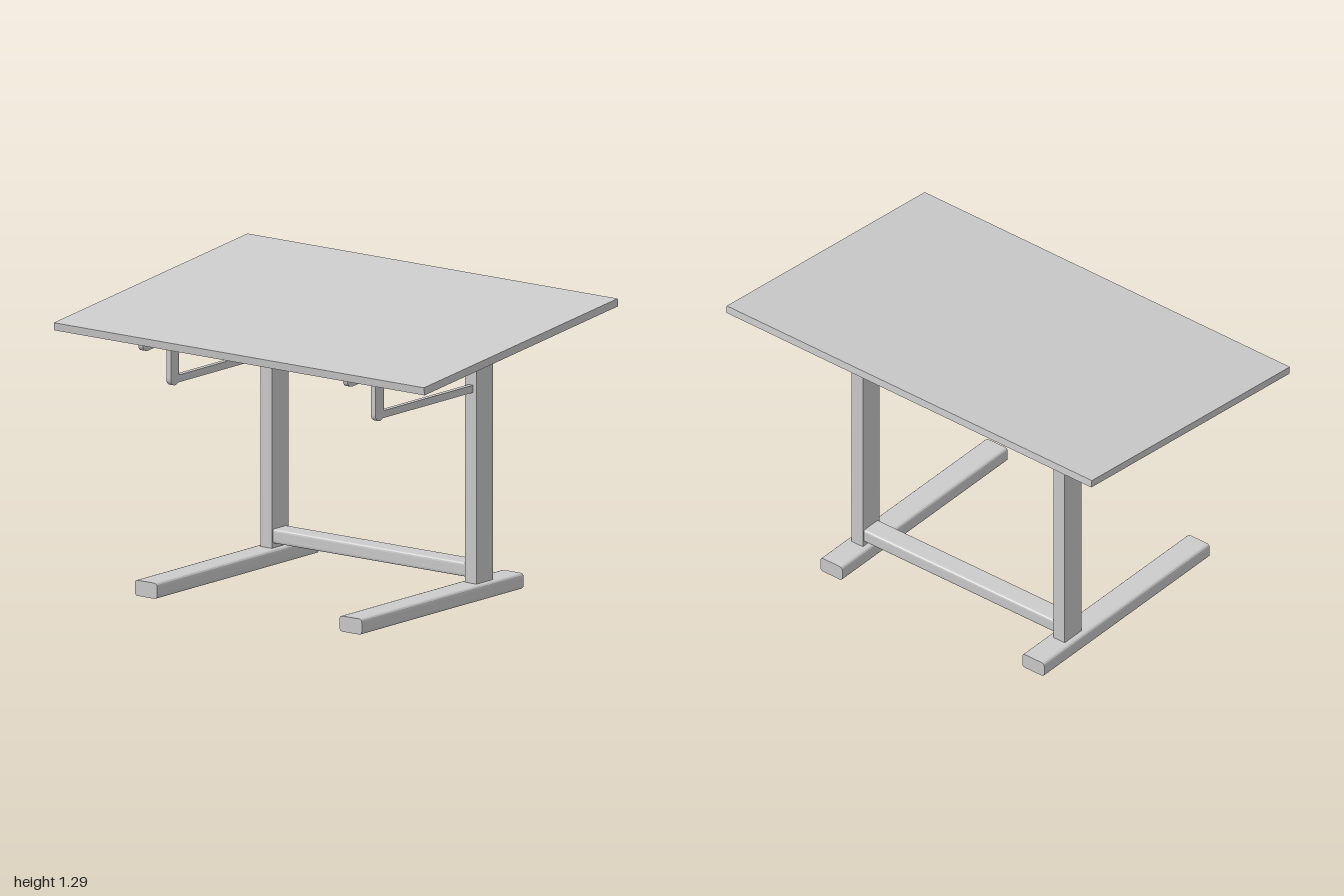
import * as THREE from 'three';

const material = new THREE.MeshStandardMaterial({ color: 0xcccccc, flatShading: true });
const SIDE_Z = 0.55; // distance of each leg frame from the middle
const SLOPE = 0.112; // tilt of the board

function add(parent, name, geometry, x = 0, y = 0, z = 0) {
  const mesh = new THREE.Mesh(geometry, material);
  mesh.name = name;
  mesh.position.set(x, y, z);
  parent.add(mesh);
  return mesh;
}

// Bar along z with a rounded rectangular section, centred on the origin
function roundedBar(w, h, length, r) {
  const a = w / 2, b = h / 2;
  const s = new THREE.Shape();
  s.moveTo(-a + r, -b);
  s.lineTo(a - r, -b);
  s.quadraticCurveTo(a, -b, a, -b + r);
  s.lineTo(a, b - r);
  s.quadraticCurveTo(a, b, a - r, b);
  s.lineTo(-a + r, b);
  s.quadraticCurveTo(-a, b, -a, b - r);
  s.lineTo(-a, -b + r);
  s.quadraticCurveTo(-a, -b, -a + r, -b);
  return plate(s, length, 3);
}

// Flat shape extruded symmetrically about z = 0
function plate(shape, depth, curveSegments = 8) {
  return new THREE.ExtrudeGeometry(shape, { depth, bevelEnabled: false, curveSegments })
    .translate(0, 0, -depth / 2);
}

function sideFrame(name, z) {
  const g = new THREE.Group();
  g.name = name;
  g.position.z = z;

  // Foot and upright post
  add(g, 'foot', roundedBar(0.12, 0.068, 1.11, 0.016).rotateY(Math.PI / 2), -0.048, 0.034);
  add(g, 'post', new THREE.BoxGeometry(0.113, 1.115, 0.062), 0.278, 0.6225);

  // Sloping rail below the board, rounded at its low end
  const rail = new THREE.Shape();
  rail.moveTo(-0.64, 1.112);
  rail.quadraticCurveTo(-0.645, 1.07, -0.6, 1.073);
  rail.lineTo(0.2, 1.162);
  rail.lineTo(0.2, 1.203);
  rail.closePath();
  add(g, 'boardRail', plate(rail, 0.024));

  // Hanging bracket with a round lower end
  const hanger = new THREE.Shape();
  hanger.moveTo(-0.39, 1.11);
  hanger.lineTo(-0.448, 1.105);
  hanger.lineTo(-0.448, 0.918);
  hanger.absarc(-0.419, 0.918, 0.029, Math.PI, Math.PI * 2, false);
  hanger.closePath();
  add(g, 'hanger', plate(hanger, 0.024));

  // Horizontal arm from hanger to post
  add(g, 'supportArm', new THREE.BoxGeometry(0.64, 0.032, 0.022), -0.085, 0.913);
  return g;
}

export function createModel() {
  const model = new THREE.Group();
  model.name = 'draftingTable';

  // Tilted board
  const board = add(model, 'board', new THREE.BoxGeometry(1.333, 0.034, 1.994), -0.001, 1.197);
  board.rotation.set(0, -0.003, SLOPE);

  // Mirrored leg frames
  model.add(sideFrame('frontFrame', SIDE_Z), sideFrame('backFrame', -SIDE_Z));

  // Lower stretcher and upper pivot bar between the posts
  add(model, 'stretcher', roundedBar(0.1, 0.062, 1.05, 0.012), 0.278, 0.119);
  add(model, 'pivotBar', new THREE.CylinderGeometry(0.028, 0.028, 1.05, 12).rotateX(Math.PI / 2), 0.262, 1.076);
  return model;
}
